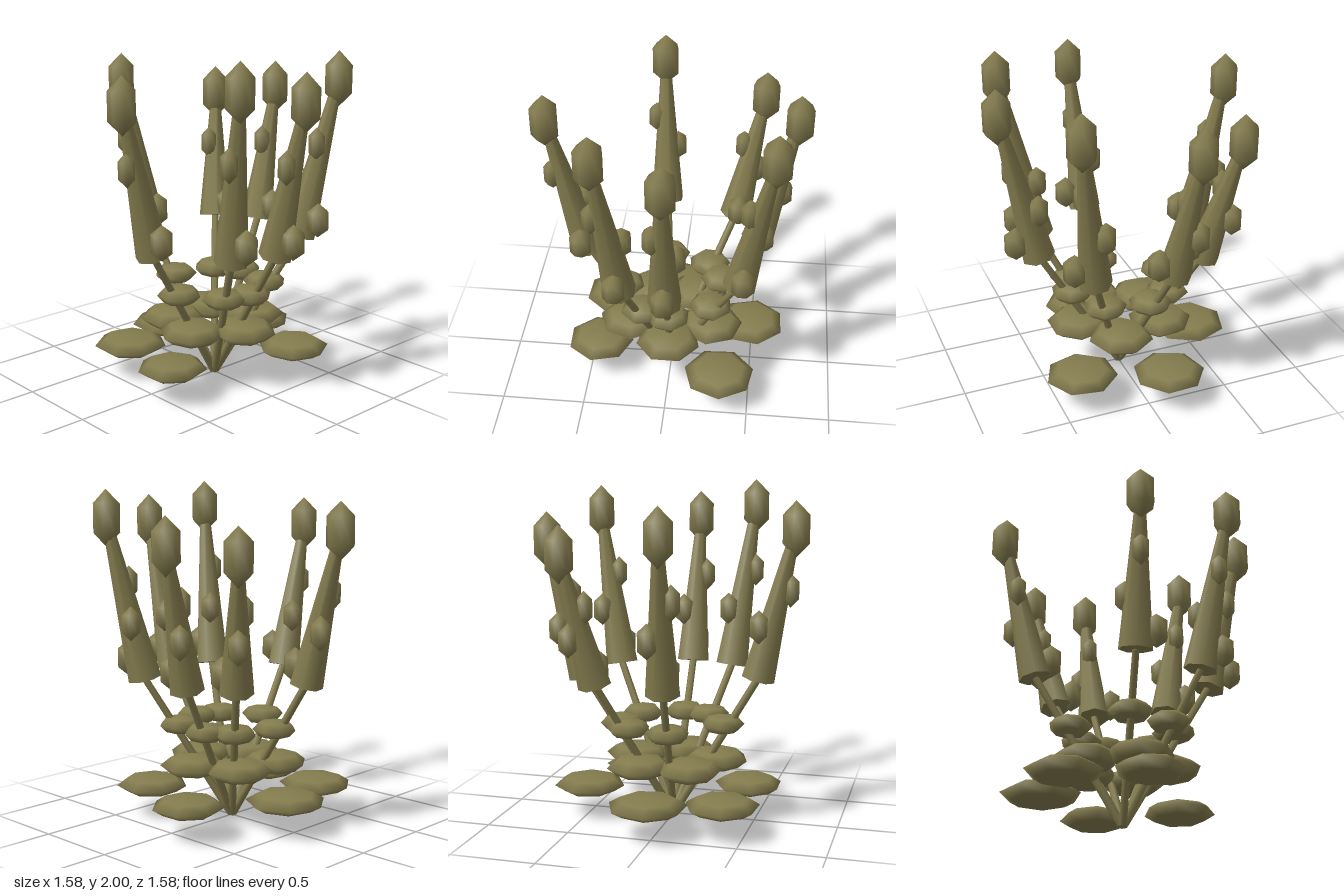
import * as THREE from 'three';

const olive = new THREE.MeshStandardMaterial({ color: 0x847c4e });
olive.name = 'olive';

const UP = new THREE.Vector3(0, 1, 0);
const v = (x, y, z) => new THREE.Vector3(x, y, z);

function mesh(geometry, name, parent) {
  const m = new THREE.Mesh(geometry, olive);
  m.name = name;
  parent.add(m);
  return m;
}

// Squashed or stretched low-poly ellipsoid
function ellipsoid(name, parent, pos, radius, halfHeight, rings, turn = 0) {
  const g = new THREE.SphereGeometry(1, 7, rings).scale(radius, halfHeight, radius);
  const m = mesh(g, name, parent);
  m.position.copy(pos);
  m.rotation.y = turn;
  return m;
}

// Tapered round bar between two points
function bar(name, parent, a, b, r0, r1, sides) {
  const dir = b.clone().sub(a);
  const m = mesh(new THREE.CylinderGeometry(r1, r0, dir.length(), sides), name, parent);
  m.position.copy(a).add(b).multiplyScalar(0.5);
  m.quaternion.setFromUnitVectors(UP, dir.normalize());
  return m;
}

// Tip x, tip z and top height of each stalk
const STALKS = [
  [0.71, -0.01, 1.92], [0.6, 0.37, 2.0], [0.05, 0.71, 1.9], [-0.72, 0.11, 1.9],
  [-0.54, -0.51, 1.78], [-0.2, -0.71, 1.83], [0.43, -0.59, 1.96],
];

// Position along the spike, offset, radius and half height of each bud
const BUDS = [
  [0.12, 0.11, 0.075, 0.105], [0.36, 0.09, 0.065, 0.1], [0.6, 0.06, 0.056, 0.1],
];

// Centre x, centre z and radius of the lowest leaves
const LOW_LEAVES = [
  [-0.46, -0.03, 0.235], [-0.34, 0.38, 0.22], [0.12, 0.44, 0.205],
  [0.36, -0.32, 0.215], [-0.13, -0.49, 0.215],
];

function buildStalk([x, z, top]) {
  const stalk = new THREE.Group();
  stalk.name = 'stalk';
  const base = v(x * 0.71, 0.855, z * 0.71);
  const tip = v(x, top - 0.165, z);

  // Thin stem and tapering flower spike
  bar('stem', stalk, v(x * 0.01, 0.01, z * 0.01), base, 0.025, 0.022, 6);
  bar('spike', stalk, base, tip, 0.1, 0.028, 7);
  ellipsoid('headBud', stalk, tip, 0.093, 0.165, 3);

  // Side buds spiral up the spike
  BUDS.forEach(([t, off, r, h], i) => {
    const a = i * 2.4;
    const p = base.clone().lerp(tip, t).add(v(Math.cos(a) * off, 0, -Math.sin(a) * off));
    ellipsoid('sideBud', stalk, p, r, h, 3);
  });

  // Small leaf on the stem
  ellipsoid('upperLeaf', stalk, v(x * 0.42, 0.572, z * 0.42), 0.13, 0.058, 4, Math.atan2(x, z));
  return stalk;
}

export function createModel() {
  const plant = new THREE.Group();
  plant.name = 'plant';
  STALKS.forEach((s) => plant.add(buildStalk(s)));

  // Large leaves near the ground
  LOW_LEAVES.forEach(([x, z, r]) =>
    ellipsoid('lowLeaf', plant, v(x, 0.185, z), r, 0.057, 4, Math.atan2(x, z)));

  // Ring of middle leaves
  for (let i = 0; i < 5; i++) {
    const a = (i / 5) * Math.PI * 2;
    const p = v(Math.cos(a) * 0.26, 0.34, Math.sin(a) * 0.26);
    ellipsoid('middleLeaf', plant, p, 0.195, 0.065, 4, -a);
  }
  return plant;
}
